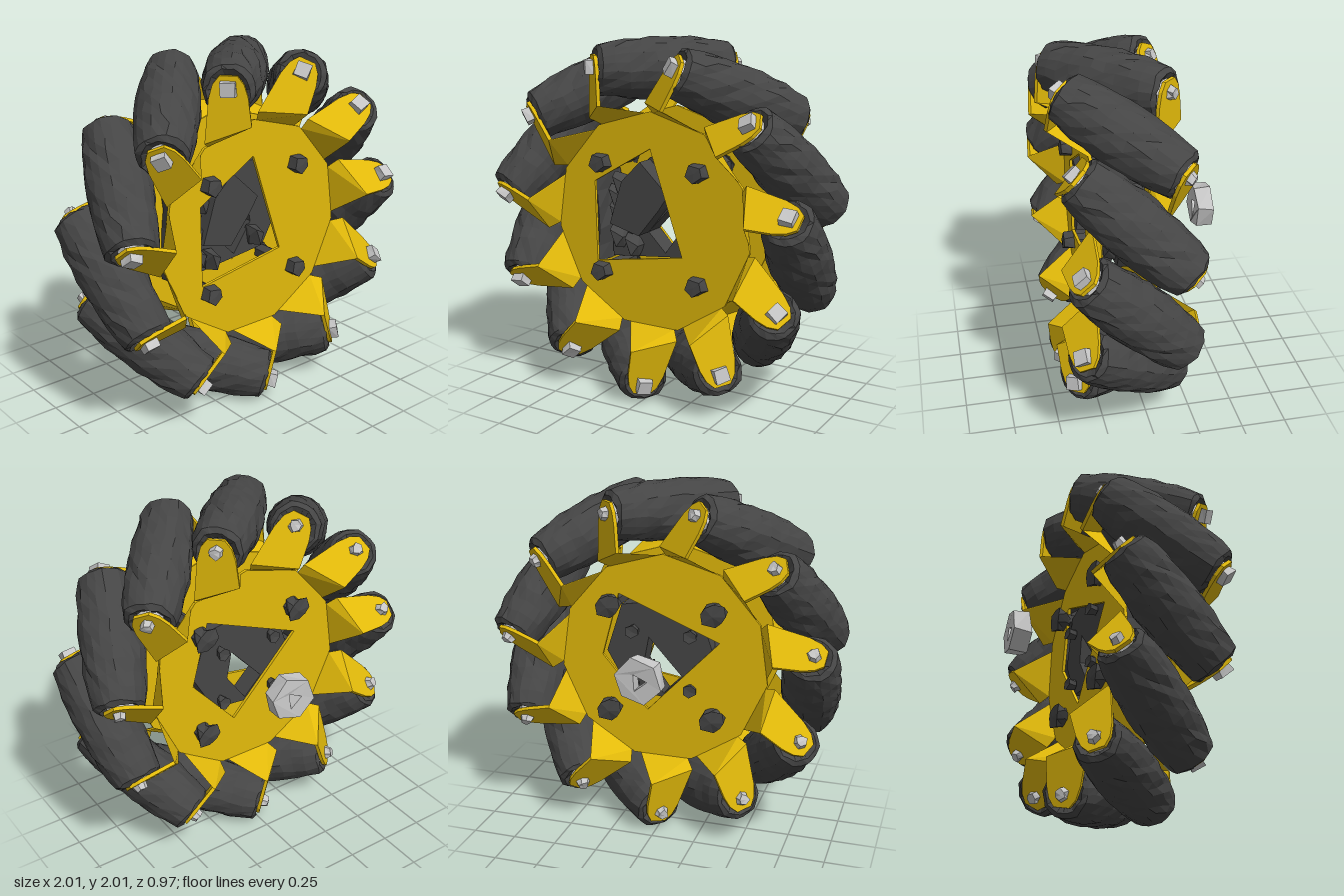
import * as THREE from 'three';

const COUNT = 11, STEP = (Math.PI * 2) / COUNT, AXIS_R = 0.832, H = Math.SQRT1_2;

const mat = (name, color) => {
  const m = new THREE.MeshStandardMaterial({ color, flatShading: true });
  m.name = name;
  return m;
};

// Moves each corner by a repeatable amount that depends only on its position
function roughen(geo, amount) {
  const p = geo.attributes.position;
  const hash = (x, y, z, k) => {
    const q = (v) => Math.round(v * 500);
    const s = Math.sin(q(x) * 12.99 + q(y) * 78.23 + q(z) * 37.72 + k * 9.17) * 43758.5453;
    return (s - Math.floor(s) - 0.5) * 2 * amount;
  };
  for (let i = 0; i < p.count; i++) {
    const x = p.getX(i), y = p.getY(i), z = p.getZ(i);
    p.setXYZ(i, x + hash(x, y, z, 1), y + hash(x, y, z, 2), z + hash(x, y, z, 3));
  }
  geo.computeVertexNormals();
  return geo;
}

// Turns a geometry built along y so that it lies on the slanted roller axis
const slant = (geo) => geo.rotateX(Math.PI / 2).rotateY(-Math.PI / 4);

// Barrel roller with dished ends, whose outer side follows the wheel's rim
function rollerGeometry() {
  const half = 0.378, pts = [new THREE.Vector2(0.03, -half + 0.05), new THREE.Vector2(0.11, -half)];
  for (let i = 0; i <= 10; i++) {
    const s = -0.36 + 0.072 * i;
    pts.push(new THREE.Vector2(1.0 - Math.hypot(AXIS_R, s * 0.65), s));
  }
  pts.push(new THREE.Vector2(0.11, half), new THREE.Vector2(0.03, half - 0.05));
  return slant(roughen(new THREE.LatheGeometry(pts, 20), 0.007));
}

// Bent bracket: from a plate edge, twisting square to the roller axis
function bracketGeometry() {
  const c = 0.272, t = 0.01;
  const end = (w, yl, yr) => [[-c - w * H, yl, c - w * H], [-c + w * H, yr, c + w * H]];
  const rows = [
    [[-0.305, 0.52, 0.145], [-0.035, 0.6, 0.145]],
    end(0.12, 0.555, 0.65), end(0.1, 0.79, 0.8), end(0.08, 0.865, 0.865), end(0.045, 0.91, 0.91),
  ];
  const pos = [], idx = [];
  for (const [l, r] of rows) {
    for (const [p, s] of [[l, t], [r, t], [r, -t], [l, -t]]) pos.push(p[0] - s * H, p[1], p[2] + s * H);
  }
  const quad = (a, b, d, e) => idx.push(a, b, d, a, d, e);
  for (let i = 0; i < rows.length - 1; i++) {
    for (let j = 0; j < 4; j++) {
      const k = (j + 1) % 4, o = i * 4;
      quad(o + j, o + k, o + 4 + k, o + 4 + j);
    }
  }
  const top = (rows.length - 1) * 4;
  quad(top, top + 1, top + 2, top + 3);
  quad(3, 2, 1, 0);
  const geo = new THREE.BufferGeometry();
  geo.setAttribute('position', new THREE.Float32BufferAttribute(pos, 3));
  geo.setIndex(idx);
  geo.computeVertexNormals();
  return geo;
}

const vecs = (list) => list.map(([x, y]) => new THREE.Vector2(x, y));

// Flat part starting at depth z, with an optional opening
function cutPlate(outline, hole, z, depth) {
  const shape = new THREE.Shape(vecs(outline));
  if (hole) shape.holes.push(new THREE.Path(vecs(hole)));
  return new THREE.ExtrudeGeometry(shape, { depth, bevelEnabled: false }).translate(0, 0, z);
}

const polygon = (n, r, start) => Array.from({ length: n }, (_, k) => {
  const a = start + (k * Math.PI * 2) / n;
  return [r * Math.cos(a), r * Math.sin(a)];
});

export function createModel() {
  const yellow = mat('yellow metal', 0xe2ba0a);
  const rubber = mat('dark rubber', 0x454545);
  const dark = mat('dark plastic', 0x464646);
  const steel = mat('light steel', 0xc6c6c6);

  const model = new THREE.Group();
  model.name = 'rollerWheel';
  const wheel = new THREE.Group();
  wheel.name = 'wheel';
  wheel.position.set(0, 1, 0.115);
  model.add(wheel);

  const add = (parent, name, geo, material, x = 0, y = 0, z = 0) => {
    const m = new THREE.Mesh(geo, material);
    m.name = name;
    m.position.set(x, y, z);
    parent.add(m);
    return m;
  };

  // Side plates
  const rim = polygon(COUNT, 0.612, Math.PI / 2);
  const frontHole = [[0, 0.41], [0.2, -0.17], [-0.35, -0.26], [-0.36, 0.2]];
  const backHole = [[0.26, 0.37], [-0.33, 0.13], [0.09, -0.31], [0.36, 0]];
  add(wheel, 'frontPlate', cutPlate(rim, frontHole, 0.135, 0.018), yellow);
  add(wheel, 'backPlate', cutPlate(rim, backHole, -0.153, 0.018), yellow);

  // Rollers, each with a bracket, bolt and collar at both ends
  const roller = rollerGeometry(), bracket = bracketGeometry();
  const collar = slant(roughen(new THREE.CylinderGeometry(0.065, 0.09, 0.06, 7), 0.01));
  const boltHead = slant(roughen(new THREE.BoxGeometry(0.085, 0.04, 0.08), 0.007));
  const nut = slant(roughen(new THREE.CylinderGeometry(0.032, 0.038, 0.035, 6), 0.006));
  for (let k = 0; k < COUNT; k++) {
    const unit = new THREE.Group();
    unit.name = 'rollerUnit';
    unit.rotation.z = k * STEP;
    wheel.add(unit);
    add(unit, 'roller', roller, rubber, 0, AXIS_R, 0);
    for (const front of [true, false]) {
      const side = new THREE.Group();
      side.name = front ? 'frontMount' : 'backMount';
      if (!front) side.rotation.y = Math.PI;
      unit.add(side);
      add(side, 'bracket', bracket, yellow);
      add(side, 'collar', collar, steel, -0.252, AXIS_R, 0.252);
      const out = front ? 0.292 : 0.288;
      add(side, front ? 'boltHead' : 'nut', front ? boltHead : nut, steel, -out, AXIS_R + 0.012, out);
    }
  }

  // Hub: a base between the plates with a raised diagonal block and a side wall
  const hubOutline = [[-0.35, -0.27], [0.21, -0.21], [0.34, 0.02], [0.25, 0.3], [0.02, 0.34], [-0.1, 0.33], [-0.24, 0.2], [-0.28, 0.08], [-0.36, 0.04]];
  const hubHole = [[-0.11, -0.1], [0, -0.21], [0.12, -0.04], [0.09, 0.12]];
  const blockOutline = [[-0.3, -0.05], [-0.11, -0.1], [0.02, 0.06], [0.08, 0.15], [-0.1, 0.32], [-0.22, 0.2]];
  add(wheel, 'hubBase', cutPlate(hubOutline, hubHole, -0.13, 0.12), dark);
  add(wheel, 'hubBlock', cutPlate(blockOutline, null, -0.02, 0.12), dark);
  const sideWall = roughen(new THREE.BoxGeometry(0.05, 0.5, 0.25, 1, 5, 2), 0.012);
  add(wheel, 'hubSideWall', sideWall, dark, -0.39, -0.03, 0);

  // Plate screws: outer spacers run through, inner screws show at the back
  const spacer = new THREE.CylinderGeometry(0.045, 0.045, 0.28, 6).rotateX(Math.PI / 2);
  const frontScrew = roughen(new THREE.CylinderGeometry(0.052, 0.06, 0.08, 5).rotateX(Math.PI / 2), 0.007);
  const backScrew = roughen(new THREE.CylinderGeometry(0.05, 0.07, 0.09, 8, 2).rotateX(Math.PI / 2), 0.013);
  const smallScrew = roughen(new THREE.CylinderGeometry(0.03, 0.04, 0.05, 6).rotateX(Math.PI / 2), 0.006);
  for (const sx of [-1, 1]) {
    for (const sy of [-1, 1]) {
      add(wheel, 'spacer', spacer, dark, sx * 0.305, sy * 0.31, 0);
      add(wheel, 'frontScrew', frontScrew, dark, sx * 0.305, sy * 0.31, 0.175);
      add(wheel, 'backScrew', backScrew, dark, sx * 0.305, sy * 0.31, -0.175);
      add(wheel, 'smallScrew', smallScrew, dark, sx * 0.17, sy * 0.16, -0.165);
    }
  }

  // Ragged gear lumps inside the hub opening
  const lump = roughen(new THREE.IcosahedronGeometry(0.06, 0), 0.022);
  for (const [x, y, z] of [[-0.32, 0.09, 0], [-0.3, 0, 0.02], [-0.3, -0.14, 0.02], [-0.2, -0.18, 0.02], [-0.28, 0.17, 0.02], [0.13, -0.12, 0]]) {
    add(wheel, 'gearLump', lump, dark, x, y, z);
  }

  // Loose axle nut behind the wheel
  const axleNut = cutPlate(polygon(6, 0.13, 0.25), polygon(3, 0.055, 0.9), -0.048, 0.096);
  add(model, 'axleNut', roughen(axleNut, 0.01), steel, 0, 1.02, -0.43);

  return model;
}
